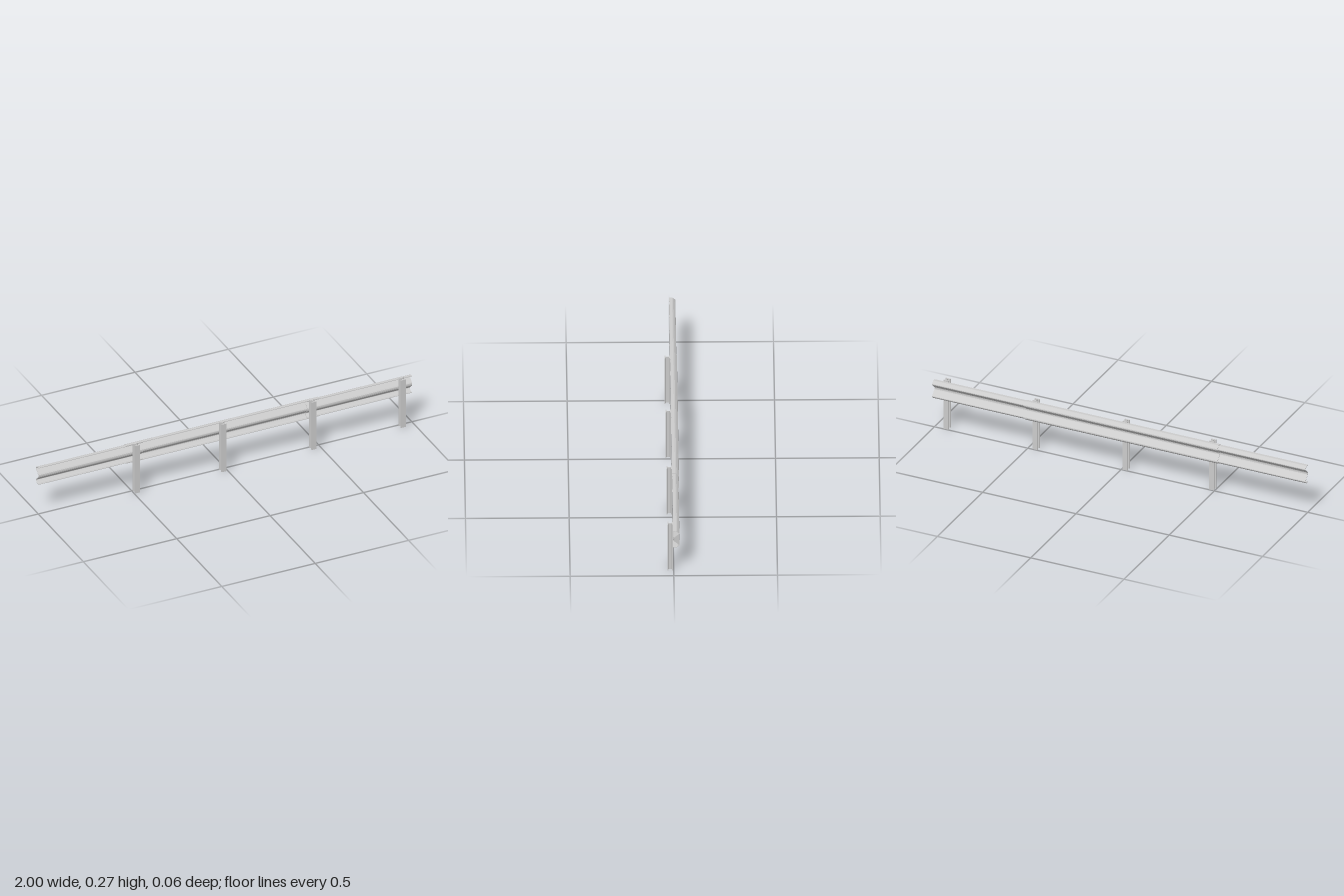
import * as THREE from 'three';

const SHEET = 0.0027; // rail sheet thickness
const RAIL_Y = 0.212; // height of the rail's middle valley

// Upper half of the rail's outer face: [distance towards the road, height above the valley]
const HALF = [
  [-0.003, 0.050], [0.011, 0.050], [0.017, 0.048], [0.023, 0.043], [0.029, 0.037], [0.030, 0.033],
  [0.029, 0.029], [0.025, 0.025], [0.005, 0.007], [0.0025, 0.004], [0.002, 0],
];

// Moves the profile inwards by d, with mitred corners
function offset(points, d) {
  const normal = (a, b) => new THREE.Vector2(b.y - a.y, a.x - b.x).normalize();
  return points.map((p, i) => {
    const before = points[i - 1], after = points[i + 1];
    const n1 = before ? normal(before, p) : normal(p, after);
    const n2 = after ? normal(p, after) : n1;
    const miter = n1.clone().add(n2).normalize();
    return p.clone().addScaledVector(miter, d / miter.dot(n1));
  });
}

export function createModel() {
  const group = new THREE.Group();
  group.name = 'guardrail';
  const material = new THREE.MeshStandardMaterial({ color: 0xcccccc, flatShading: true });

  const lower = HALF.slice(0, -1).reverse().map(([u, v]) => [u, -v]);
  const outer = [...HALF, ...lower].map(([u, v]) => new THREE.Vector2(u, v + RAIL_Y));

  // Corrugated rail sheets: the middle one laps over the two end ones
  function addRail(name, x0, x1, layer) {
    const face = offset(outer, layer * SHEET);
    const back = offset(outer, (layer + 1) * SHEET).reverse();
    const geometry = new THREE.ExtrudeGeometry(new THREE.Shape([...face, ...back]), {
      depth: x1 - x0, bevelEnabled: false,
    });
    geometry.rotateY(Math.PI / 2);
    const rail = new THREE.Mesh(geometry, material);
    rail.name = name;
    rail.position.x = x0;
    group.add(rail);
  }
  addRail('rightEndRail', -1, -0.44, 1);
  addRail('middleRail', -0.53, 0.505, 0);
  addRail('leftEndRail', 0.44, 1, 1);

  // I-beam posts with tapered flanges, section drawn in x and z
  const w = 0.0135, d = 0.0135, web = 0.0018;
  const quarter = [[web, d - 0.0065], [w, d - 0.004], [w, d]];
  const section = [
    ...quarter,
    ...quarter.map(([x, z]) => [-x, z]).reverse(),
    ...quarter.map(([x, z]) => [-x, -z]),
    ...quarter.map(([x, z]) => [x, -z]).reverse(),
  ].map(([x, z]) => new THREE.Vector2(x, z));
  const postGeometry = new THREE.ExtrudeGeometry(new THREE.Shape(section), {
    depth: 0.266, bevelEnabled: false,
  });
  postGeometry.rotateX(-Math.PI / 2);
  [-0.483, -0.02, 0.462, 0.94].forEach((x, i) => {
    const post = new THREE.Mesh(postGeometry, material);
    post.name = `post${i + 1}`;
    post.position.set(x, 0, 0.0168);
    group.add(post);
  });

  return group;
}
